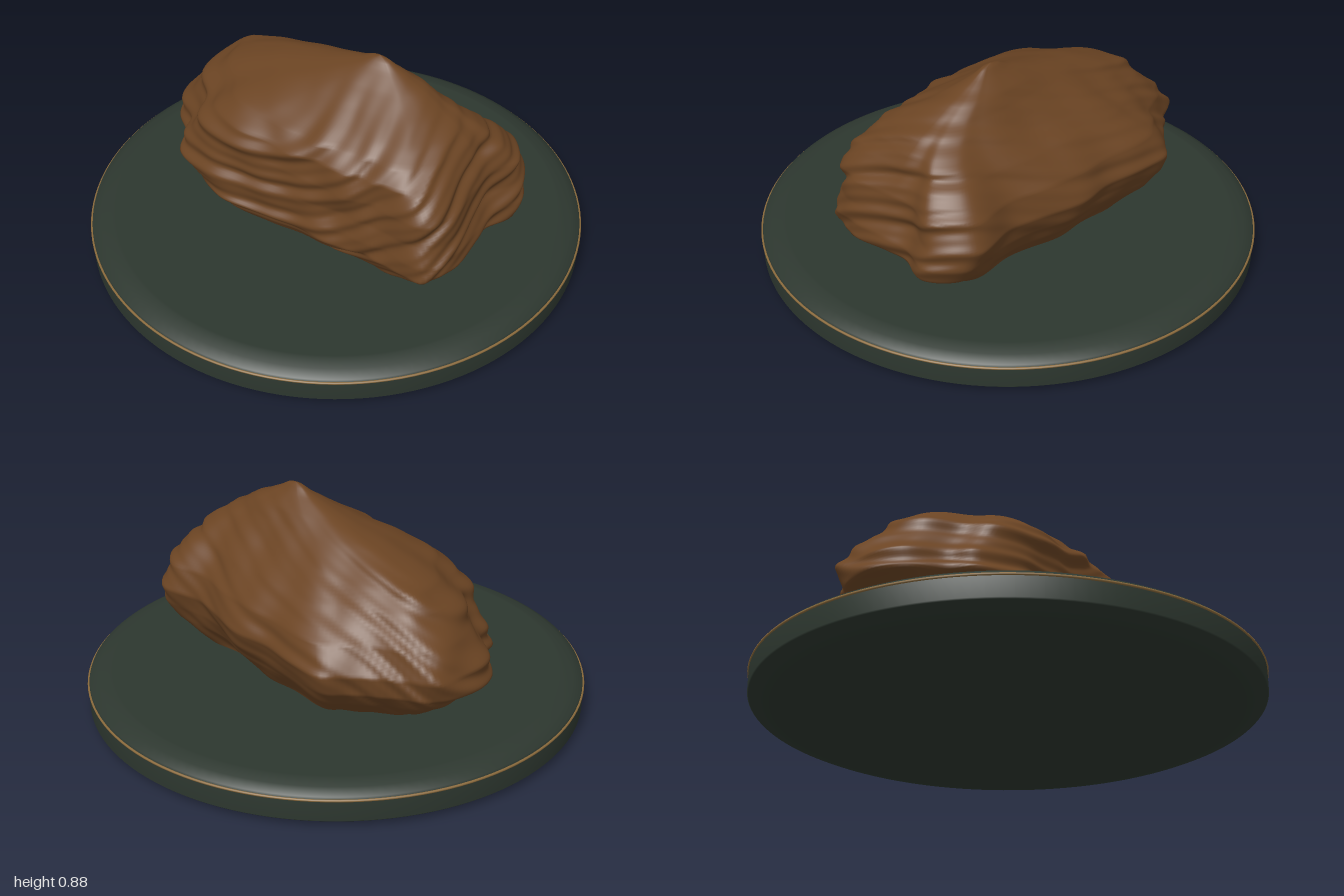
import * as THREE from 'three';

const BASE_TOP = 0.155;
const APEX = { x: 0.16, y: 0.885, z: -0.065 };

// Plan outline of the rock at its widest, from +x round through +z
const OUTLINE = [
  [0.66, 0.0], [0.68, 0.2], [0.63, 0.3], [0.4, 0.31], [0.2, 0.33], [0, 0.34], [-0.2, 0.36],
  [-0.38, 0.36], [-0.56, 0.3], [-0.61, 0.2], [-0.74, 0.1], [-0.78, -0.05], [-0.76, -0.2],
  [-0.6, -0.32], [-0.49, -0.42], [-0.42, -0.48], [-0.1, -0.46], [0.1, -0.46],
  [0.35, -0.4], [0.6, -0.41], [0.7, -0.28], [0.65, -0.12],
];

// Height, then extent towards -x, +x, -z, +z
const LEVELS = [
  [0.13, -0.49, 0.49, -0.30, 0.26], [0.17, -0.57, 0.56, -0.33, 0.30],
  [0.25, -0.69, 0.69, -0.40, 0.36], [0.32, -0.77, 0.70, -0.44, 0.36],
  [0.40, -0.77, 0.68, -0.47, 0.345], [0.50, -0.70, 0.67, -0.43, 0.35],
  [0.60, -0.61, 0.62, -0.34, 0.335], [0.66, -0.54, 0.58, -0.27, 0.28],
  [0.70, -0.44, 0.54, -0.23, 0.215], [0.75, -0.29, 0.46, -0.185, 0.13],
  [0.80, -0.09, 0.36, -0.15, 0.05], [0.85, 0.07, 0.25, -0.10, -0.02],
  [0.88, 0.13, 0.195, -0.075, -0.05], [APEX.y, APEX.x, APEX.x, APEX.z, APEX.z],
];

function extentsAt(y) {
  let k = 0;
  while (k < LEVELS.length - 2 && y > LEVELS[k + 1][0]) k++;
  const a = LEVELS[k], b = LEVELS[k + 1];
  const t = (y - a[0]) / (b[0] - a[0]);
  return a.map((v, i) => THREE.MathUtils.lerp(v, b[i], t));
}

// Tilted rock layers, warped by slow waves; stronger on the front and ends
function strata(x, y, z) {
  const warp = 0.035 * Math.sin(5 * x + 3 * y) + 0.03 * Math.sin(7 * z - 4 * x);
  const s = y - 0.35 * x + 0.45 * z + warp;
  const layers = 0.5 * Math.sin(58 * s) + 0.3 * Math.sin(97 * s + 1) + 0.45 * Math.sin(31 * s + 2);
  const lumps = 0.4 * Math.sin(13 * x + 9 * y) * Math.cos(15 * z - 8 * y)
    + 0.25 * Math.sin(27 * x - 19 * z + 12 * y);
  const strength = 0.35 + 0.65 * THREE.MathUtils.smoothstep(z + 0.6 * Math.abs(x), -0.2, 0.25);
  return layers * strength + lumps;
}

function rockGeometry() {
  const around = 220, up = 96;
  const curve = new THREE.CatmullRomCurve3(
    OUTLINE.map(([x, z]) => new THREE.Vector3(x, 0, z)), true, 'centripetal');
  const plan = curve.getSpacedPoints(around).slice(0, around);
  const pos = [], index = [];
  const y0 = LEVELS[0][0];
  for (let i = 0; i <= up; i++) {
    const t = i / up;
    const y = THREE.MathUtils.lerp(y0, APEX.y, t);
    const [, x1, x2, z1, z2] = extentsAt(y);
    const drift = THREE.MathUtils.smoothstep(y, 0.3, 0.8);
    const cx = APEX.x * drift, cz = APEX.z * drift;
    const round = 0.85 * THREE.MathUtils.smoothstep(y, 0.5, 0.82);
    const fade = Math.min(1, (APEX.y - y) / 0.22);
    for (const p of plan) {
      let u = p.x / (p.x > 0 ? 0.69 : 0.78);
      let v = p.z / (p.z > 0 ? 0.36 : 0.475);
      // the section becomes an oval towards the peak
      const k = THREE.MathUtils.lerp(1, 1 / Math.hypot(u, v), round);
      u *= k; v *= k;
      let x = cx + u * (u > 0 ? x2 - cx : cx - x1);
      let z = cz + v * (v > 0 ? z2 - cz : cz - z1);
      const d = 0.013 * fade * strata(x, y, z);
      const len = Math.hypot(u, v);
      x += d * u / len;
      z += d * v / len;
      pos.push(x, y + 0.3 * d * (1 - t), z);
    }
  }
  for (let i = 0; i < up; i++) {
    for (let j = 0; j < around; j++) {
      const a = i * around + j, b = i * around + (j + 1) % around;
      index.push(b, a, a + around, b, a + around, b + around);
    }
  }
  const g = new THREE.BufferGeometry();
  g.setAttribute('position', new THREE.Float32BufferAttribute(pos, 3));
  g.setIndex(index);
  g.computeVertexNormals();
  return g;
}

export function createModel() {
  const stone = new THREE.MeshStandardMaterial({ color: 0x6b4423 });
  const green = new THREE.MeshStandardMaterial({ color: 0x2d372f });
  const gold = new THREE.MeshStandardMaterial({ color: 0x8a6a3c });
  stone.name = 'brown stone';
  green.name = 'dark green';
  gold.name = 'dull gold';

  const model = new THREE.Group();
  const add = (name, geometry, material) => {
    const mesh = new THREE.Mesh(geometry, material);
    mesh.name = name;
    model.add(mesh);
    return mesh;
  };

  // Round display base; doubled points keep the flat faces crisp
  const profile = [
    [0, 0], [0.9, 0], [0.91, 0], [0.955, 0.009], [0.99, 0.025], [0.995, 0.03], [0.995, 0.11],
    [0.99, 0.125], [0.955, 0.145], [0.91, BASE_TOP], [0.9, BASE_TOP], [0, BASE_TOP],
  ].map(([r, y]) => new THREE.Vector2(r, y));
  add('displayBase', new THREE.LatheGeometry(profile, 128), green);

  // Thin inlaid line round the rim
  const ring = add('rimLine', new THREE.TorusGeometry(0.995, 0.005, 8, 128), gold);
  ring.rotation.x = Math.PI / 2;
  ring.position.y = 0.113;

  add('rock', rockGeometry(), stone);
  return model;
}
